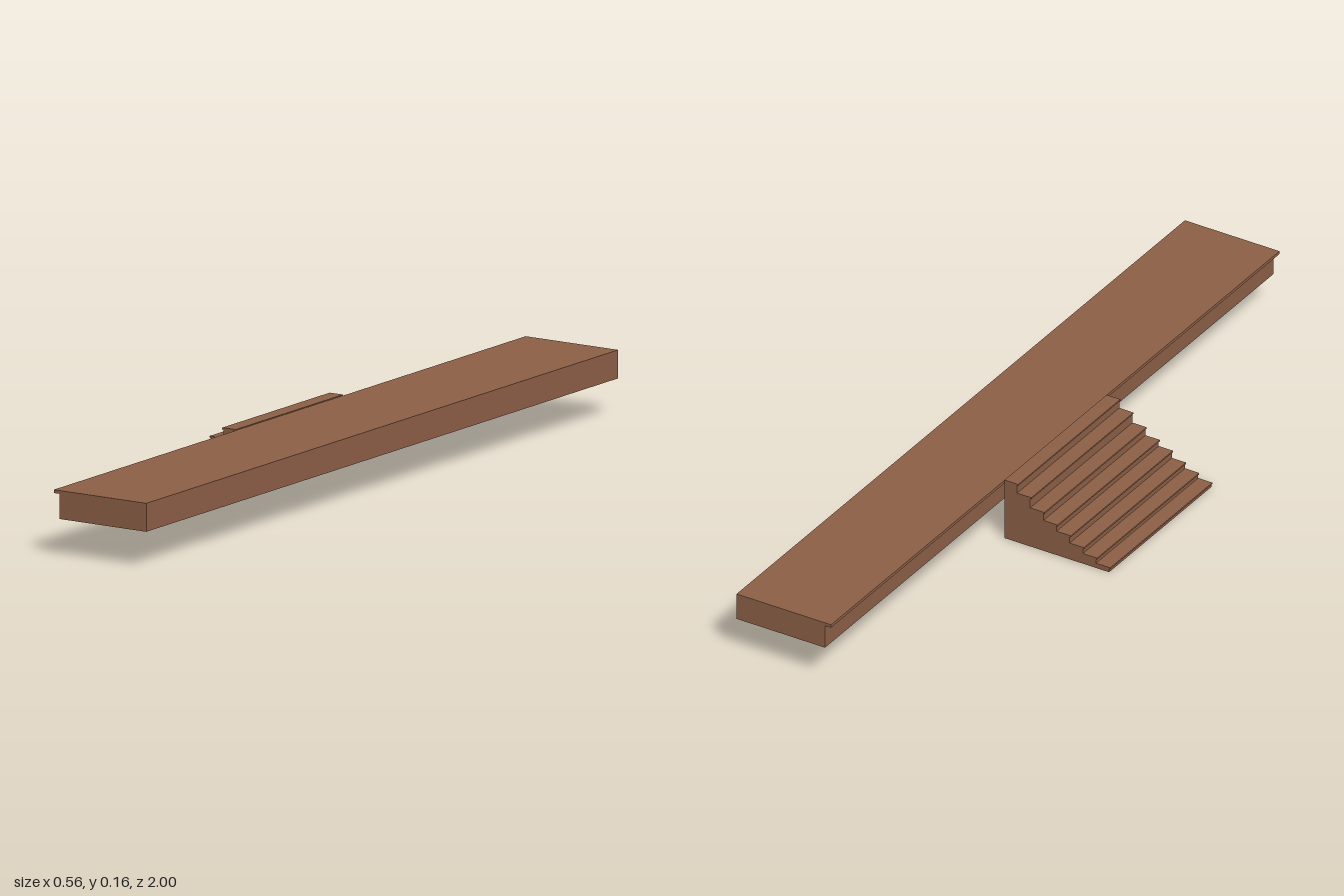
import * as THREE from 'three';

const wood = new THREE.MeshStandardMaterial({ color: 0x8b5e46 });
wood.name = 'brown wood';

// Extrudes an x/y outline along z, centred on z = 0
function extrudeAlongZ(name, points, length) {
  const shape = new THREE.Shape(points.map(([x, y]) => new THREE.Vector2(x, y)));
  const geometry = new THREE.ExtrudeGeometry(shape, { depth: length, bevelEnabled: false });
  geometry.translate(0, 0, -length / 2);
  const mesh = new THREE.Mesh(geometry, wood);
  mesh.name = name;
  return mesh;
}

export function createModel() {
  const group = new THREE.Group();
  group.name = 'platformWithSteps';

  // Long platform: solid body with a thin top that overhangs towards the steps
  group.add(extrudeAlongZ('platform', [
    [0.033, 0.09], [0.28, 0.09], [0.28, 0.159],
    [0.016, 0.159], [0.016, 0.151], [0.033, 0.151],
  ], 2));

  // Staircase: each tread has a thin nosing projecting past its riser
  const treadHeights = [0.013, 0.028, 0.045, 0.066, 0.084, 0.107, 0.136, 0.161];
  const run = 0.0367, firstRiser = -0.277, nosing = 0.003, thickness = 0.004;
  const back = 0.015;
  const outline = [[back, 0], [back, treadHeights[treadHeights.length - 1]]];
  for (let i = treadHeights.length - 1; i >= 0; i--) {
    const riser = firstRiser + i * run;
    const top = treadHeights[i];
    const foot = i > 0 ? treadHeights[i - 1] : 0;
    outline.push([riser - nosing, top], [riser - nosing, top - thickness],
      [riser, top - thickness], [riser, foot]);
  }
  group.add(extrudeAlongZ('staircase', outline, 0.456));

  return group;
}
